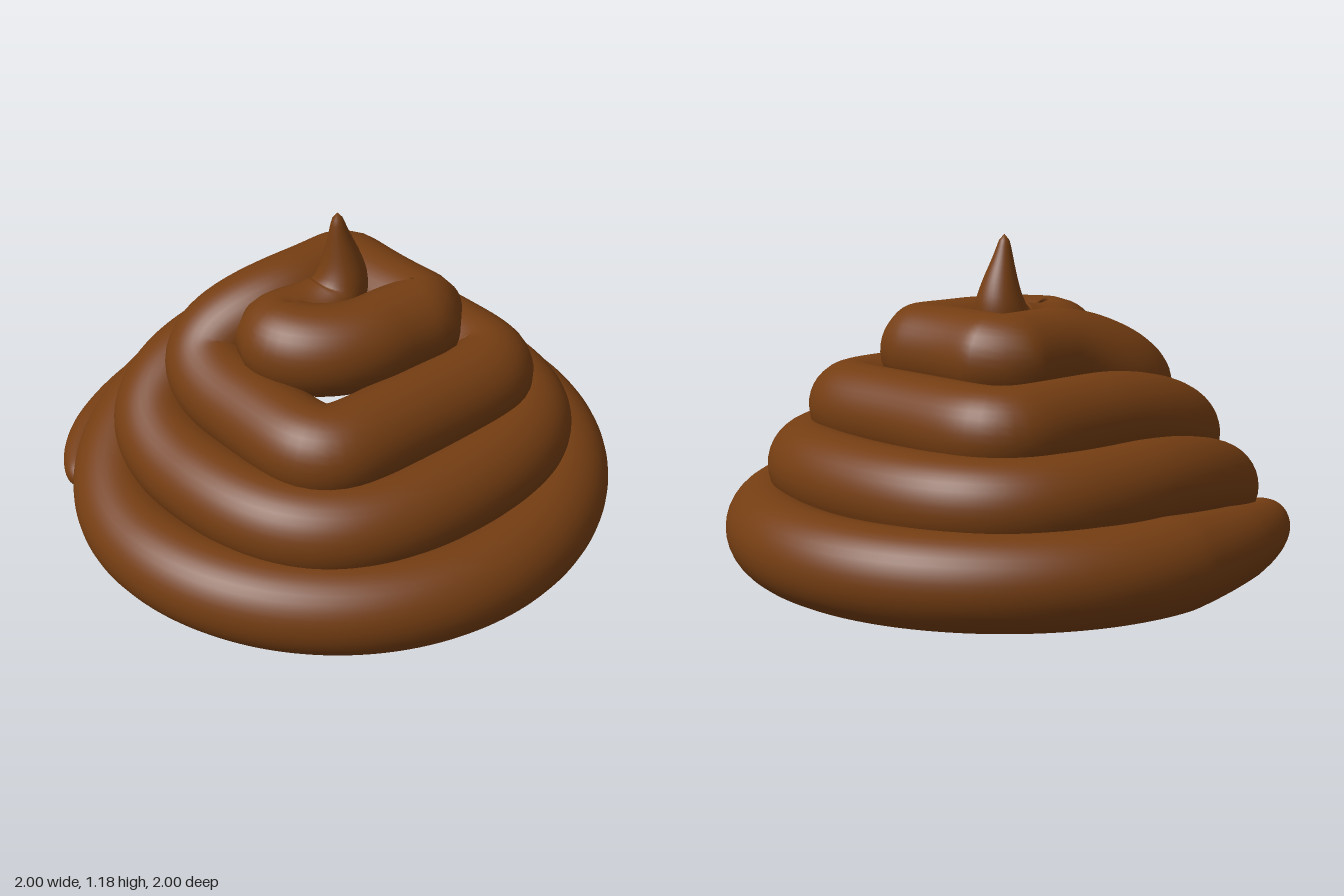
import * as THREE from 'three';
import { mergeVertices } from 'three/addons/utils/BufferGeometryUtils.js';

const V = (x, y, z) => new THREE.Vector3(x, y, z);

// Coil rings from bottom to top: radius, height and Bezier handle length
const RINGS = [
  { r: 0.84, y: 0.165, h: 0.46 },
  { r: 0.63, y: 0.375, h: 0.46 },
  { r: 0.42, y: 0.58, h: 0.46 },
  { r: 0.21, y: 0.785, h: 0.27 },
];

// Centre line: tail, flat three-quarter turns joined by climbs, inward curl, upright tip
function swirlPath() {
  const path = new THREE.CurvePath();
  const add = (a, b, c, d) => path.add(new THREE.CubicBezierCurve3(a, b, c, d));
  add(V(-0.8, 0.15, -0.5), V(-0.72, 0.16, -0.72), V(-0.42, 0.165, -0.84), V(0, 0.165, -0.84));
  RINGS.forEach(({ r, y, h }, i) => {
    add(V(0, y, -r), V(h, y, -r), V(r, y, -h), V(r, y, 0)); // back to +x side
    add(V(r, y, 0), V(r, y, h), V(h, y, r), V(0, y, r)); // +x side to front
    const up = RINGS[i + 1];
    if (up) {
      add(V(0, y, r), V(-h, y, r), V(-r, y, h), V(-r, y, 0)); // front to -x side
      add(V(-r, y, 0), V(-r, y, -h), V(-up.h, up.y, -up.r), V(0, up.y, -up.r)); // climb
    }
  });
  add(V(0, 0.785, 0.21), V(-0.13, 0.785, 0.21), V(-0.26, 0.785, 0.12), V(-0.26, 0.785, 0.02));
  add(V(-0.26, 0.785, 0.02), V(-0.26, 0.79, -0.08), V(-0.08, 0.78, 0), V(0, 0.88, 0));
  add(V(0, 0.88, 0), V(0.05, 0.95, 0), V(0, 1.08, 0), V(0, 1.19, 0));
  path.arcLengthDivisions = 2000;
  return path;
}

// Linear interpolation through [distance, radius] pairs
function lookup(table, d) {
  for (let i = 1; i < table.length; i++) {
    const [d0, r0] = table[i - 1], [d1, r1] = table[i];
    if (d <= d1) return r0 + (r1 - r0) * (d - d0) / (d1 - d0);
  }
  return table[table.length - 1][1];
}

const TAIL = [[0, 0], [0.015, 0.03], [0.05, 0.048], [0.3, 0.09], [0.6, 0.13], [0.95, 0.16]];
const TIP = [[0, 0], [0.008, 0.012], [0.025, 0.02], [0.1, 0.042], [0.24, 0.088], [0.36, 0.115], [0.5, 0.14], [0.65, 0.16]];

// Tube of unit radius, shrunk ring by ring towards its centre line
function taperedTube(path, steps, sides) {
  const tube = new THREE.TubeGeometry(path, steps, 1, sides, false);
  const pos = tube.attributes.position;
  const length = path.getLength();
  const v = V(0, 0, 0);
  for (let i = 0; i <= steps; i++) {
    const u = i / steps;
    const centre = path.getPointAt(u);
    const radius = Math.min(lookup(TAIL, u * length), lookup(TIP, (1 - u) * length));
    for (let j = 0; j <= sides; j++) {
      const k = i * (sides + 1) + j;
      v.fromBufferAttribute(pos, k).sub(centre).multiplyScalar(radius).add(centre);
      pos.setXYZ(k, v.x, v.y, v.z);
    }
  }
  tube.deleteAttribute('uv');
  tube.deleteAttribute('normal');
  const smooth = mergeVertices(tube, 1e-5);
  smooth.computeVertexNormals();
  return smooth;
}

export function createModel() {
  const group = new THREE.Group();
  group.name = 'swirl';
  const material = new THREE.MeshStandardMaterial({ color: 0x743d12 });
  const coil = new THREE.Mesh(taperedTube(swirlPath(), 700, 36), material);
  coil.name = 'coil';
  coil.position.y = -0.005;
  group.add(coil);
  return group;
}
